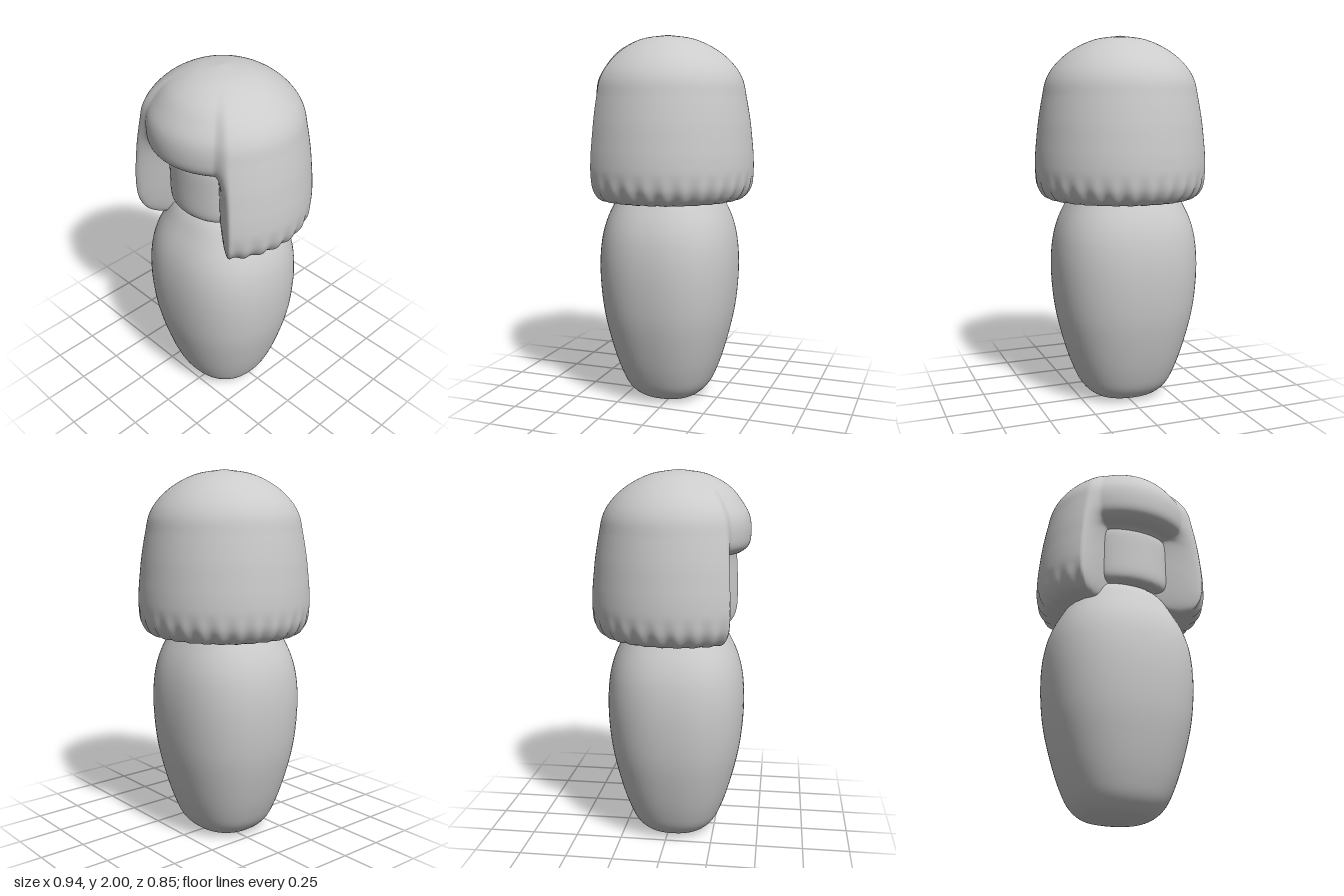
import * as THREE from 'three';
import { mergeVertices } from 'three/addons/utils/BufferGeometryUtils.js';

const material = new THREE.MeshStandardMaterial({ color: 0xcccccc });

// Smooth profile through [radius, height] pairs, listed from top to bottom.
const profile = (pairs) => {
  const curve = new THREE.CatmullRomCurve3(pairs.map(([r, y]) => new THREE.Vector3(r, y, 0)), false, 'centripetal');
  return (t) => {
    const p = curve.getPoint(t);
    return [Math.max(p.x, 0), p.y];
  };
};

// Closed surface of rings; at(angle, t) gives [x, y, z], angle 0 faces +z.
function ringSurface(cols, rows, at) {
  const positions = [];
  const index = [];
  for (let i = 0; i <= rows; i++) {
    for (let j = 0; j < cols; j++) {
      positions.push(...at((j / cols) * Math.PI * 2 - Math.PI, i / rows));
      if (i === rows) continue;
      const a = i * cols + j;
      const d = i * cols + ((j + 1) % cols);
      index.push(a, a + cols, d, d, a + cols, d + cols);
    }
  }
  const geometry = new THREE.BufferGeometry();
  geometry.setAttribute('position', new THREE.Float32BufferAttribute(positions, 3));
  geometry.setIndex(index);
  const merged = mergeVertices(geometry, 1e-5);
  merged.computeVertexNormals();
  return merged;
}

// Egg-shaped body with a slightly squared cross-section.
function bodyGeometry() {
  const side = profile([
    [0, 1.3], [0.14, 1.28], [0.24, 1.22], [0.305, 1.12], [0.36, 1.01], [0.39, 0.9], [0.402, 0.74],
    [0.385, 0.52], [0.345, 0.34], [0.29, 0.17], [0.24, 0.07], [0.18, 0.018], [0.12, 0.003], [0, 0],
  ]);
  return ringSurface(72, 70, (angle, t) => {
    const [r, y] = side(t);
    const s = Math.sin(angle);
    const c = Math.cos(angle);
    const k = r / Math.pow(Math.abs(s) ** 2.3 + Math.abs(c) ** 2.3, 1 / 2.3);
    return [-0.017 + k * s, y, 0.033 + k * c * 0.93];
  });
}

// Bobbed hair: the front blends to a fringe profile that curls into a recess.
function hairGeometry() {
  const bob = profile([
    [0, 2], [0.15, 1.975], [0.28, 1.91], [0.365, 1.83], [0.405, 1.76], [0.425, 1.67], [0.438, 1.6],
    [0.449, 1.53], [0.458, 1.45], [0.466, 1.36], [0.467, 1.27], [0.452, 1.19], [0.41, 1.135],
    [0.34, 1.12], [0.25, 1.14], [0, 1.2],
  ]);
  const fringe = profile([
    [0, 2], [0.15, 1.975], [0.27, 1.91], [0.338, 1.83], [0.376, 1.76], [0.386, 1.68], [0.374, 1.61],
    [0.335, 1.575], [0.28, 1.56], [0.24, 1.5], [0.23, 1.42], [0.22, 1.34], [0.21, 1.28],
    [0.18, 1.22], [0.12, 1.2], [0, 1.2],
  ]);
  return ringSurface(288, 100, (angle, t) => {
    const degrees = THREE.MathUtils.radToDeg(Math.abs(angle));
    const blend = THREE.MathUtils.smoothstep(degrees, 39, 50);
    const [r0, y0] = fringe(t);
    const [r1, y1] = bob(t);
    let r = THREE.MathUtils.lerp(r0, r1, blend);
    const y = THREE.MathUtils.lerp(y0, y1, blend);
    // Shallow flutes gather the hair towards its hem.
    const hem = blend * (1 - THREE.MathUtils.smoothstep(y1, 1.12, 1.3)) * Math.min(1, r / 0.3);
    r += 0.009 * hem * Math.cos(angle * 30);
    return [r * Math.sin(angle), y, 0.04 + r * Math.cos(angle)];
  });
}

// Face: a rounded block bent around the head.
function faceGeometry() {
  const geometry = new THREE.SphereGeometry(1, 64, 48);
  geometry.deleteAttribute('uv');
  geometry.deleteAttribute('normal');
  const p = geometry.attributes.position;
  const v = new THREE.Vector3();
  for (let i = 0; i < p.count; i++) {
    v.fromBufferAttribute(p, i);
    v.divideScalar(Math.pow(Math.abs(v.x) ** 6 + Math.abs(v.y) ** 6 + Math.abs(v.z) ** 6, 1 / 6));
    const x = v.x * 0.215;
    p.setXYZ(i, x, 1.408 + v.y * 0.17, 0.21 + v.z * 0.1 - 1.6 * x * x);
  }
  const merged = mergeVertices(geometry, 1e-5);
  merged.computeVertexNormals();
  return merged;
}

export function createModel() {
  const model = new THREE.Group();
  model.name = 'doll';
  const parts = { body: bodyGeometry(), face: faceGeometry(), hair: hairGeometry() };
  for (const [name, geometry] of Object.entries(parts)) {
    const mesh = new THREE.Mesh(geometry, material);
    mesh.name = name;
    model.add(mesh);
  }
  return model;
}
